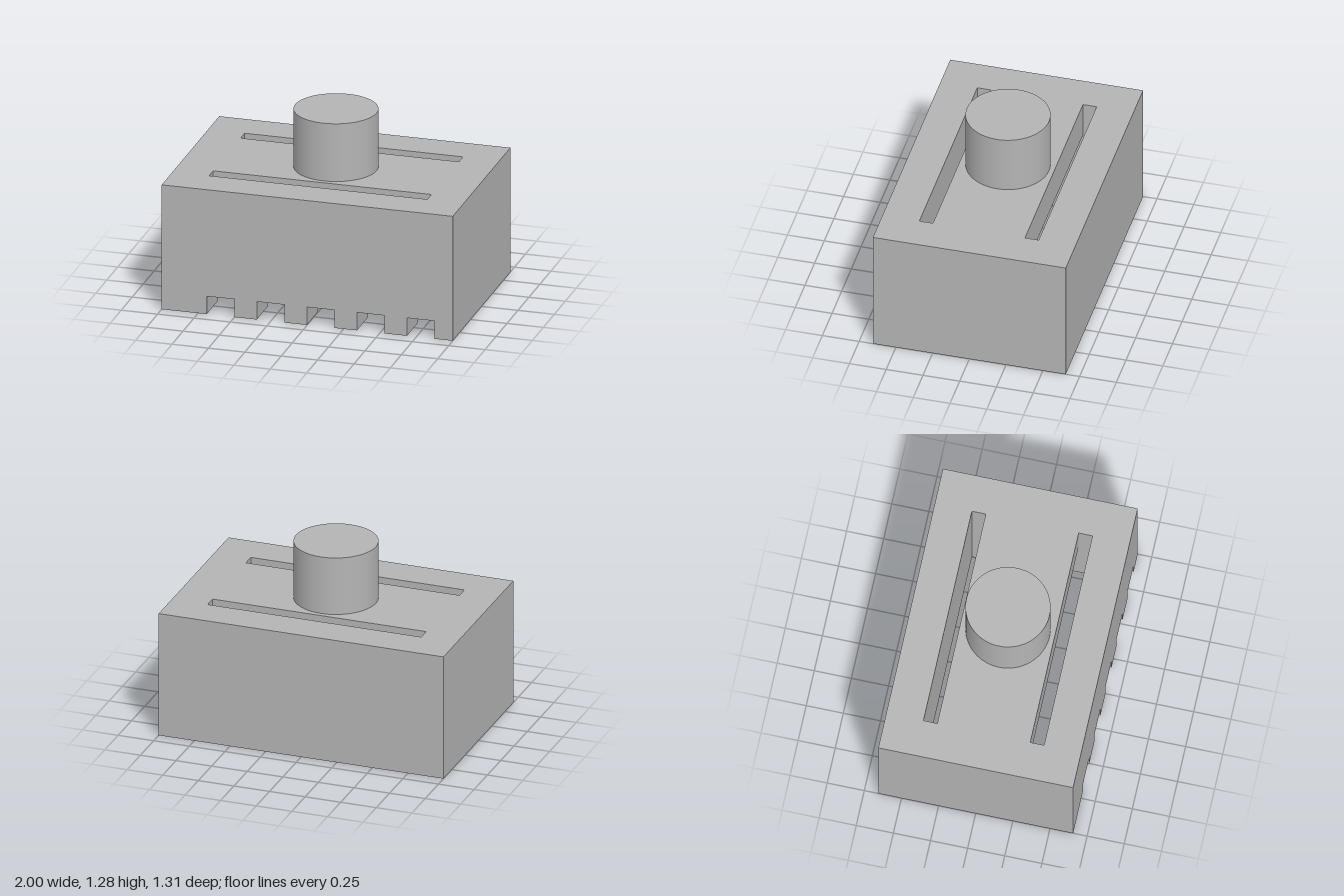
import * as THREE from 'three';

// Main dimensions
const W = 1, D = 0.656, H = 0.877, TOP = 1.284; // half width, half depth, body height, stud top
const CX = 0.75, CZ = 0.406, CEIL = 0.627;      // cavity half width, half depth, ceiling height
const NOTCH_H = 0.126, NOTCH_W = 0.19, NOTCH_END = 0.104;
const SLOT_IN = 0.313;                          // inner edge of the top slots

const polygon = (points) => new THREE.Shape(points.map(([x, y]) => new THREE.Vector2(x, y)));

export function createModel() {
  const grey = new THREE.MeshStandardMaterial({ color: 0xb4b4b4 });
  grey.name = 'grey';
  const model = new THREE.Group();
  model.name = 'brick';

  const add = (name, geometry) => {
    const mesh = new THREE.Mesh(geometry, grey);
    mesh.name = name;
    model.add(mesh);
    return mesh;
  };
  // Extrudes an x-y outline between two z positions
  const extrudeZ = (name, points, z0, z1) => {
    const geometry = new THREE.ExtrudeGeometry(polygon(points), { depth: z1 - z0, bevelEnabled: false });
    return add(name, geometry.translate(0, 0, z0));
  };
  const rect = (x0, x1) => [[x0, 0], [x1, 0], [x1, CEIL], [x0, CEIL]];

  // Top plate with two long through slots
  const plate = polygon([[-W, -D], [W, -D], [W, D], [-W, D]]);
  for (const [a, b] of [[SLOT_IN, CZ], [-CZ, -SLOT_IN]]) {
    plate.holes.push(new THREE.Path([[-CX, a], [-CX, b], [CX, b], [CX, a]]
      .map(([x, y]) => new THREE.Vector2(x, y))));
  }
  const plateGeometry = new THREE.ExtrudeGeometry(plate, { depth: H - CEIL, bevelEnabled: false });
  add('topPlate', plateGeometry.rotateX(-Math.PI / 2).translate(0, CEIL, 0));

  // Front wall with five notches along its lower edge
  const outline = [[-W, 0]];
  for (let i = 0; i < 5; i++) {
    const x = -0.69 + i * 0.344;
    outline.push([x, 0], [x, NOTCH_H], [x + NOTCH_W, NOTCH_H], [x + NOTCH_W, 0]);
  }
  outline.push([W, 0], [W, CEIL], [-W, CEIL]);
  extrudeZ('frontWall', outline, CZ, D);

  // Plain walls
  extrudeZ('backWall', rect(-W, W), -D, -CZ);
  extrudeZ('rightWall', rect(-W, -CX), -CZ, CZ);

  // Left wall: the last notch continues into its inner edge
  const notchSide = -0.69 + 4 * 0.344 + NOTCH_W;
  extrudeZ('leftWallBack', rect(CX, W), -CZ, NOTCH_END);
  extrudeZ('leftWallFront', [
    [notchSide, 0], [W, 0], [W, CEIL], [CX, CEIL], [CX, NOTCH_H], [notchSide, NOTCH_H],
  ], NOTCH_END, CZ);

  // Round stud
  add('stud', new THREE.CylinderGeometry(0.28, 0.28, TOP - H, 64)).position.y = (TOP + H) / 2;

  return model;
}
